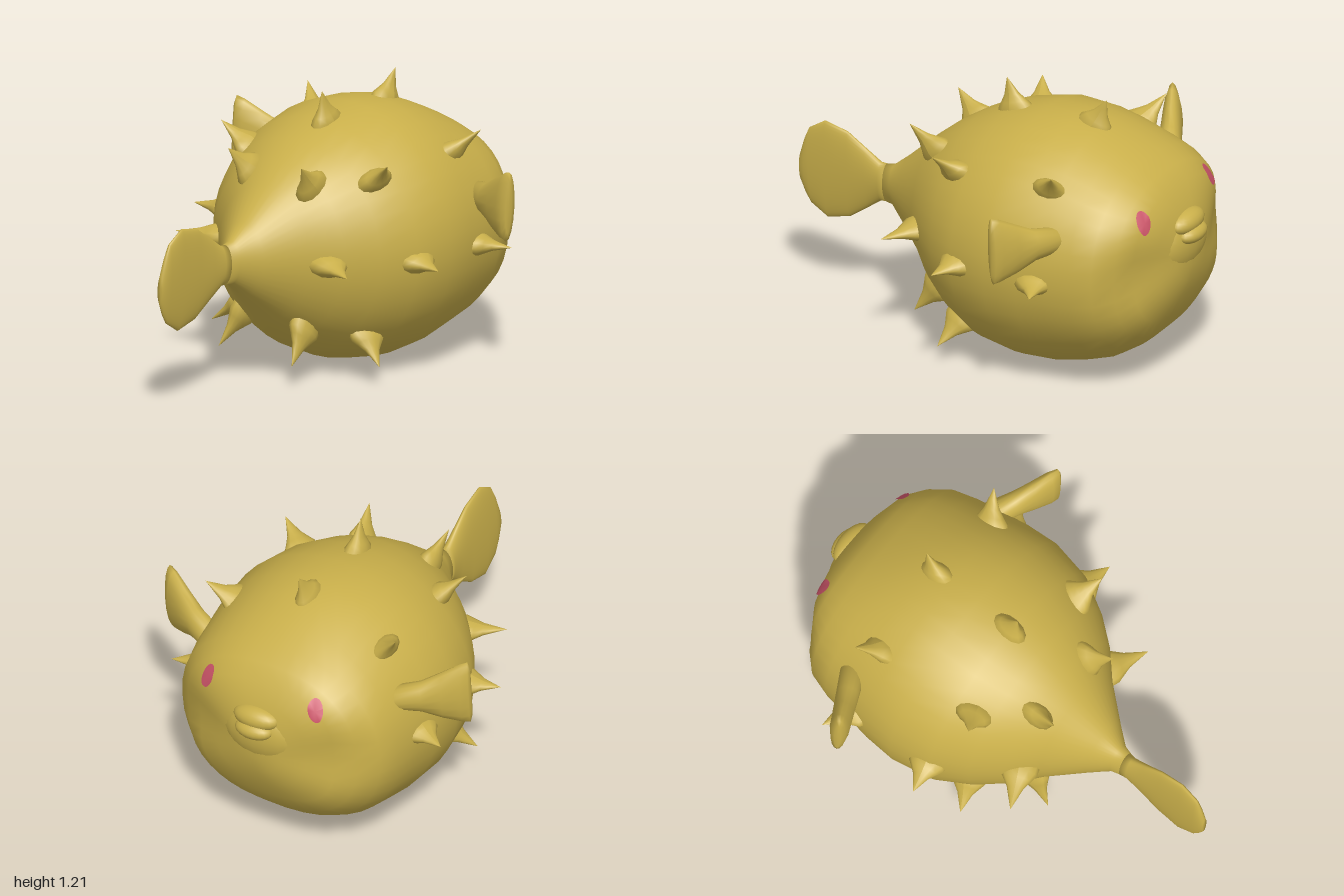
import * as THREE from 'three';

const skin = new THREE.MeshStandardMaterial({ color: 0xc9af4a });
skin.name = 'mustard skin';
const eyePink = new THREE.MeshStandardMaterial({ color: 0xcb5468 });
eyePink.name = 'eye pink';

const MID = 0.56; // height of the body axis

// Loft along x. Each section: [x, bottom, top, half width, roundness exponent]
function loft(sections, sides = 28) {
  const pos = [], index = [];
  const spow = (v, p) => Math.sign(v) * Math.pow(Math.abs(v), p);
  for (const [x, y0, y1, rz, n = 2] of sections) {
    for (let j = 0; j < sides; j++) {
      const a = (j / sides) * Math.PI * 2;
      pos.push(x, (y0 + y1) / 2 + spow(Math.cos(a), 2 / n) * (y1 - y0) / 2, spow(Math.sin(a), 2 / n) * rz);
    }
  }
  const last = sections.length - 1;
  for (let i = 0; i < last; i++) {
    for (let j = 0; j < sides; j++) {
      const k = (j + 1) % sides, a = i * sides, b = a + sides;
      index.push(a + j, a + k, b + j, a + k, b + k, b + j);
    }
  }
  // Close both ends
  for (const i of [0, last]) {
    const [x, y0, y1] = sections[i];
    const c = pos.length / 3;
    pos.push(x, (y0 + y1) / 2, 0);
    for (let j = 0; j < sides; j++) {
      const p = i * sides + j, q = i * sides + (j + 1) % sides;
      if (i === 0) index.push(c, q, p);
      else index.push(c, p, q);
    }
  }
  const g = new THREE.BufferGeometry();
  g.setAttribute('position', new THREE.Float32BufferAttribute(pos, 3));
  g.setIndex(index);
  g.computeVertexNormals();
  return g;
}

// Press a shallow hollow into each cheek, beside the mouth
function hollowCheeks(g) {
  const p = g.attributes.position;
  for (let i = 0; i < p.count; i++) {
    const x = p.getX(i), y = p.getY(i), z = p.getZ(i);
    const d2 = (x - 0.86) ** 2 + (y - 0.58) ** 2 + (Math.abs(z) - 0.33) ** 2;
    const push = 0.035 * Math.exp(-d2 / 0.016);
    p.setXYZ(i, x - push * 0.8, y, z - Math.sign(z) * push * 0.6);
  }
  g.computeVertexNormals();
  return g;
}

function addMesh(parent, name, geometry, material = skin) {
  const m = new THREE.Mesh(geometry, material);
  m.name = name;
  parent.add(m);
  return m;
}

// Thorn with an oval flared foot, running from base to tip
function thorn(base, tip) {
  const profile = [[0.087, -0.25], [0.081, 0.02], [0.06, 0.2], [0.036, 0.42], [0.02, 0.68], [0, 1]]
    .map(([r, y]) => new THREE.Vector2(r, y));
  const g = new THREE.LatheGeometry(profile, 12);
  const b = new THREE.Vector3(...base);
  const d = new THREE.Vector3(...tip).sub(b);
  const n = d.clone().normalize();
  const u = new THREE.Vector3(1, 0, 0).addScaledVector(n, -n.x).normalize();
  const w = new THREE.Vector3().crossVectors(u, n).multiplyScalar(0.58);
  g.applyMatrix4(new THREE.Matrix4().makeBasis(u, d, w).setPosition(b));
  g.computeVertexNormals();
  return g;
}

export function createModel() {
  const model = new THREE.Group();
  model.name = 'pufferfish';
  const fish = new THREE.Group();
  fish.name = 'fish';
  model.add(fish);

  // Round body with a blunt, boxy face
  const body = addMesh(fish, 'body', hollowCheeks(loft([
    [-0.57, 0.482, 0.658, 0.043], [-0.53, 0.475, 0.665, 0.055], [-0.45, 0.405, 0.73, 0.12],
    [-0.3, 0.27, 0.865, 0.25], [-0.2, 0.18, 0.945, 0.36], [-0.08, 0.095, 1.02, 0.457],
    [0.07, 0.03, 1.08, 0.543], [0.25, 0, 1.12, 0.577], [0.4, 0.006, 1.113, 0.567],
    [0.52, 0.03, 1.09, 0.547], [0.64, 0.075, 1.04, 0.527, 2.1], [0.74, 0.14, 0.99, 0.497, 2.2],
    [0.82, 0.215, 0.94, 0.43, 2.4], [0.875, 0.3, 0.88, 0.35, 2.7], [0.915, 0.39, 0.8, 0.23, 2.5],
    [0.94, 0.46, 0.72, 0.12, 2.2], [0.95, 0.53, 0.66, 0.05],
  ], 40)));

  // Tail fin
  addMesh(fish, 'tailFin', loft([
    [-1, 0.49, 0.61, 0.014], [-0.975, 0.43, 0.69, 0.02], [-0.95, 0.39, 0.745, 0.024],
    [-0.87, 0.34, 0.795, 0.028], [-0.76, 0.368, 0.768, 0.03], [-0.67, 0.43, 0.708, 0.033],
    [-0.6, 0.48, 0.66, 0.037], [-0.57, 0.482, 0.658, 0.043],
  ], 40));

  // Snout and lips
  const ball = (name, x, y, rx, ry, rz) => {
    const g = new THREE.SphereGeometry(1, 20, 14);
    g.scale(rx, ry, rz);
    addMesh(fish, name, g).position.set(x, y, 0);
  };
  ball('snout', 0.865, 0.635, 0.1, 0.155, 0.2);
  ball('upperLip', 0.92, 0.73, 0.06, 0.052, 0.11);
  ball('lowerLip', 0.945, 0.682, 0.055, 0.042, 0.09);

  // Thorns along the back
  addMesh(fish, 'backThorn', thorn([0.08, 1.08, 0], [0.045, 1.21, 0]));
  addMesh(fish, 'backThorn', thorn([0.485, 1.09, 0], [0.54, 1.21, 0]));

  // Thorns mirrored on both flanks: base, tip
  const flank = [
    [[-0.22, 0.885, 0.17], [-0.325, 0.99, 0.2]],
    [[-0.01, 0.91, 0.355], [-0.06, 1.0, 0.455]],
    [[0.48, 0.935, 0.375], [0.545, 1.04, 0.475]],
    [[-0.24, 0.56, 0.315], [-0.32, 0.56, 0.47]],
    [[0.085, 0.56, 0.535], [0.05, 0.56, 0.67]],
    [[0.485, 0.56, 0.545], [0.54, 0.56, 0.675]],
    [[-0.01, 0.2, 0.35], [-0.06, 0.11, 0.46]],
    [[-0.225, 0.235, 0.17], [-0.33, 0.11, 0.2]],
  ];
  body.updateMatrixWorld(true);
  const ray = new THREE.Raycaster();
  for (const s of [1, -1]) {
    const side = s > 0 ? 'front' : 'rear';
    for (const [b, t] of flank) {
      addMesh(fish, side + 'FlankThorn', thorn([b[0], b[1], b[2] * s], [t[0], t[1], t[2] * s]));
    }

    // Pectoral fin, spreading outward and back
    const fin = addMesh(fish, side + 'PectoralFin', loft([
      [-0.04, 0.7, 0.81, 0.055], [0.07, 0.69, 0.835, 0.05], [0.16, 0.655, 0.885, 0.046],
      [0.24, 0.634, 0.93, 0.043], [0.275, 0.632, 0.942, 0.032], [0.285, 0.67, 0.905, 0.014],
    ], 16));
    fin.position.set(0.53, 0, 0.5 * s);
    fin.rotation.y = -2.035 * s;

    // Eye: thin oval laid onto the face
    const eye = new THREE.CircleGeometry(1, 20);
    eye.scale(0.029, 0.051, 1);
    eye.rotateZ(-0.35 * s);
    eye.rotateY(Math.PI / 2);
    eye.translate(0, 0.82, 0.27 * s);
    const p = eye.attributes.position;
    for (let i = 0; i < p.count; i++) {
      ray.set(new THREE.Vector3(2, p.getY(i), p.getZ(i)), new THREE.Vector3(-1, 0, 0));
      const hit = ray.intersectObject(body)[0];
      p.setX(i, (hit ? hit.point.x : 0.87) + 0.009);
    }
    eye.computeVertexNormals();
    addMesh(fish, side + 'Eye', eye, eyePink);
  }

  // Slight roll about the body axis
  const roll = 0.055;
  fish.rotation.x = roll;
  fish.position.set(0, MID - MID * Math.cos(roll), -MID * Math.sin(roll));
  return model;
}
